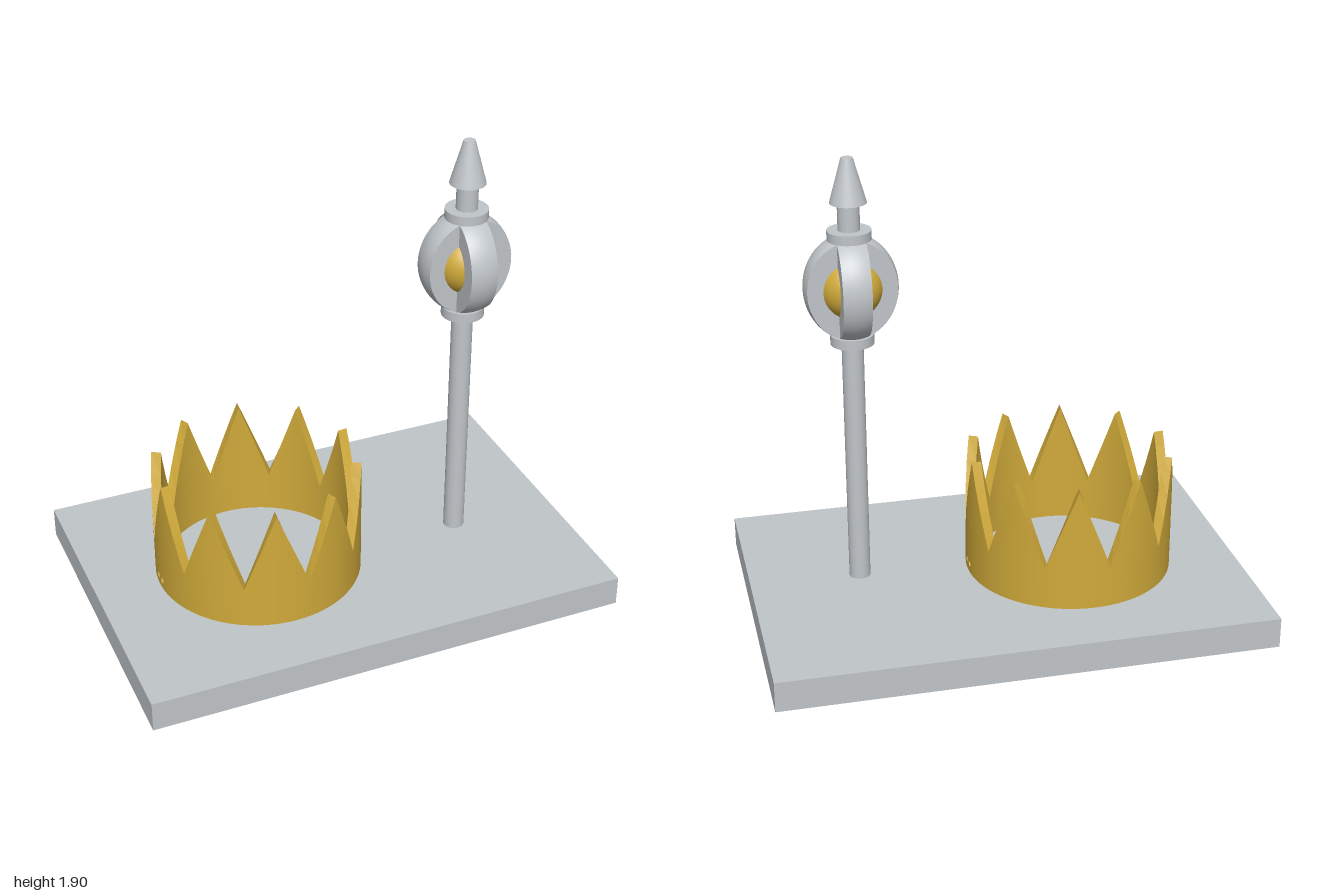
import * as THREE from 'three';
import { mergeGeometries, toCreasedNormals } from 'three/addons/utils/BufferGeometryUtils.js';

const silver = new THREE.MeshStandardMaterial({ color: 0xc0c5c9 });
silver.name = 'silver';
const gold = new THREE.MeshStandardMaterial({ color: 0xd0aa3a });
gold.name = 'gold';

function add(parent, name, geometry, material, x = 0, y = 0, z = 0) {
  const mesh = new THREE.Mesh(geometry, material);
  mesh.name = name;
  mesh.position.set(x, y, z);
  parent.add(mesh);
  return mesh;
}

const DEG = Math.PI / 180;
const OUTER = 0.424, INNER = 0.384;
const polar = (a, y, r) => [r * Math.sin(a), y, r * Math.cos(a)];

// Bends a flat (angle, height) shape onto a cylinder of radius r
function wrap(shape, r, inward) {
  const geo = new THREE.ShapeGeometry(shape);
  const pos = geo.attributes.position, nor = geo.attributes.normal;
  for (let i = 0; i < pos.count; i++) {
    const a = pos.getX(i), s = inward ? -1 : 1;
    pos.setXYZ(i, ...polar(a, pos.getY(i), r));
    nor.setXYZ(i, s * Math.sin(a), 0, s * Math.cos(a));
  }
  if (inward) geo.index.array.reverse();
  geo.deleteAttribute('uv');
  return geo.toNonIndexed();
}

// Strip joining the outer and inner walls along a path of (angle, height) points
function rim(points) {
  const verts = [];
  for (let i = 0; i + 1 < points.length; i++) {
    const p = points[i], q = points[i + 1];
    const a = polar(p.x, p.y, OUTER), b = polar(q.x, q.y, OUTER);
    const c = polar(q.x, q.y, INNER), d = polar(p.x, p.y, INNER);
    verts.push(...a, ...b, ...c, ...a, ...c, ...d);
  }
  const geo = new THREE.BufferGeometry();
  geo.setAttribute('position', new THREE.Float32BufferAttribute(verts, 3));
  geo.computeVertexNormals();
  return geo;
}

// Ten-pointed crown with a pair of small drilled holes on each side
function crownGeometry() {
  const height = 0.515, valley = 0.175, parts = [];
  const cuts = [0, 5, 10, 15, 18];
  const holeAngles = [87, 93, 267, 273];
  for (let half = 0; half < 20; half++) {
    const start = 8 + half * 18;
    const top = (d) => {
      const t = d / 18;
      return valley + (height - valley) * (half % 2 ? 1 - t : t);
    };
    for (let k = 0; k < 4; k++) {
      const d0 = start + cuts[k], d1 = start + cuts[k + 1];
      const a0 = d0 * DEG, a1 = d1 * DEG;
      const left = new THREE.Vector2(a0, top(cuts[k])), right = new THREE.Vector2(a1, top(cuts[k + 1]));
      const shape = new THREE.Shape([new THREE.Vector2(a0, 0), new THREE.Vector2(a1, 0), right, left]);
      parts.push(rim([left, right]));
      const hole = holeAngles.find((h) => h > d0 && h < d1);
      if (hole !== undefined) {
        const ring = [];
        for (let i = 0; i <= 16; i++) {
          const t = (i / 16) * Math.PI * 2;
          ring.push(new THREE.Vector2(hole * DEG + (0.013 / OUTER) * Math.cos(t), 0.04 + 0.013 * Math.sin(t)));
        }
        shape.holes.push(new THREE.Path(ring.slice(0, 16)));
        parts.push(rim(ring));
      }
      parts.push(wrap(shape, OUTER, false), wrap(shape, INNER, true));
    }
  }
  return mergeGeometries(parts);
}

// Thick slice through an ellipsoid, with a curved rim and two flat faces
function cagePlateGeometry() {
  const R = 0.185, half = 0.056, profile = [new THREE.Vector2(0, -half)];
  for (let i = 0; i <= 6; i++) {
    const s = -half + (2 * half * i) / 6;
    profile.push(new THREE.Vector2(Math.sqrt(R * R - s * s), s));
  }
  profile.push(new THREE.Vector2(0, half));
  const geo = new THREE.LatheGeometry(profile, 64);
  geo.rotateX(Math.PI / 2);
  geo.scale(1, 0.21 / R, 1);
  return toCreasedNormals(geo, 0.6);
}

export function createModel() {
  const model = new THREE.Group();
  model.name = 'crownAndSceptre';

  add(model, 'base', new THREE.BoxGeometry(2, 0.126, 1.36), silver, 0, 0.063, 0);
  add(model, 'crown', crownGeometry(), gold, -0.315, 0.125, 0);

  // Sceptre
  const sceptre = new THREE.Group();
  sceptre.name = 'sceptre';
  sceptre.position.set(0.55, 0, 0.067);
  model.add(sceptre);

  const turned = (name, rTop, rBottom, y0, y1) =>
    add(sceptre, name, new THREE.CylinderGeometry(rTop, rBottom, y1 - y0, 40), silver, 0, (y0 + y1) / 2, 0);
  turned('shaft', 0.043, 0.043, 0.12, 1.16);
  turned('lowerCollar', 0.086, 0.086, 1.15, 1.19);
  turned('upperCollar', 0.086, 0.086, 1.575, 1.613);
  turned('neck', 0.043, 0.043, 1.6, 1.725);
  turned('tip', 0.023, 0.072, 1.72, 1.896);

  // Crossed cage plates around the golden orb
  const plate = cagePlateGeometry();
  add(sceptre, 'cagePlateAcross', plate, silver, 0, 1.383, 0);
  add(sceptre, 'cagePlateAlong', plate, silver, 0, 1.383, 0).rotation.y = Math.PI / 2;
  add(sceptre, 'orb', new THREE.SphereGeometry(0.127, 40, 28), gold, 0, 1.383, 0);

  return model;
}
